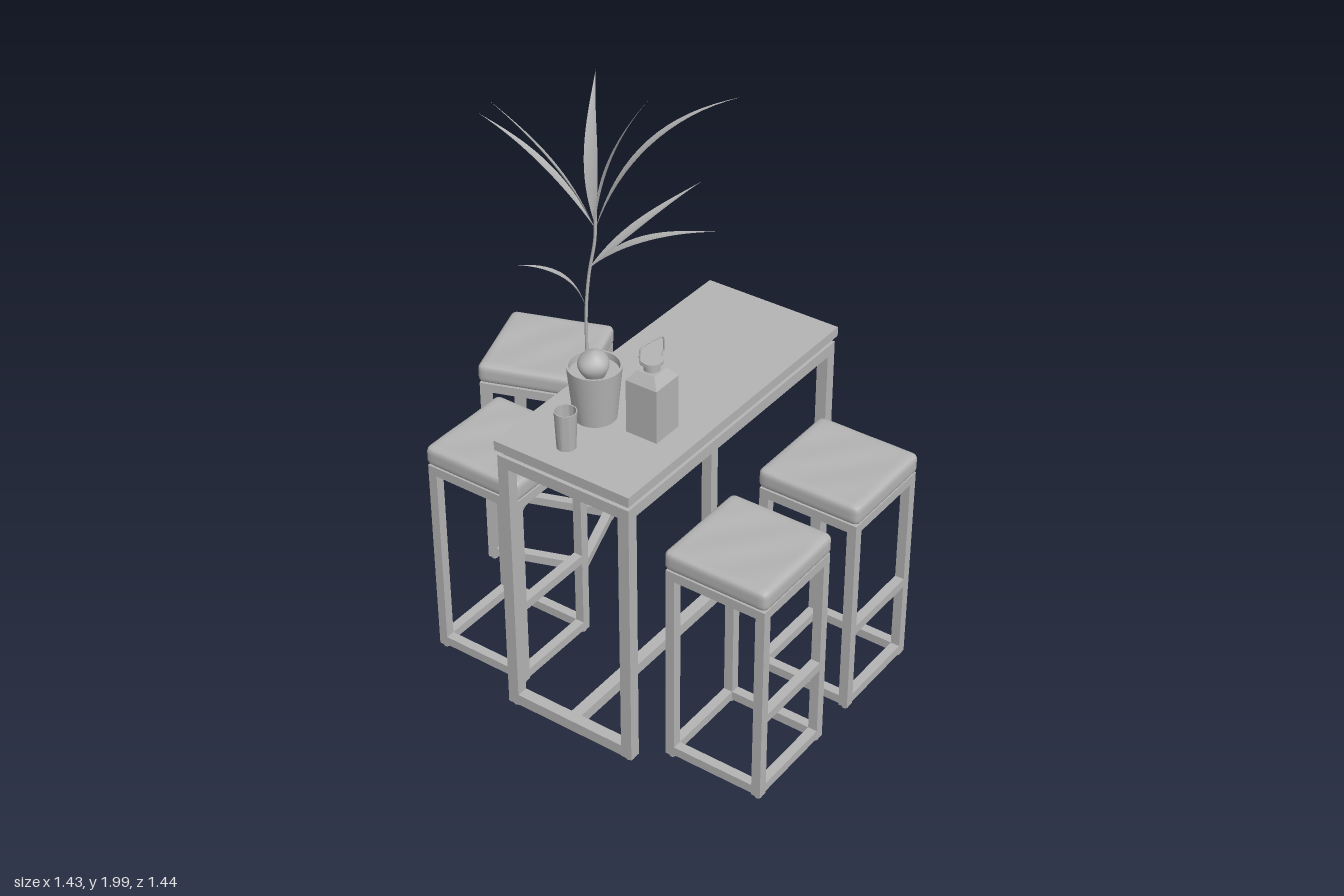
import * as THREE from 'three';
import { mergeVertices, toCreasedNormals } from 'three/addons/utils/BufferGeometryUtils.js';

const grey = new THREE.MeshStandardMaterial({ color: 0xb4b4b4 });
grey.name = 'plain grey';
const greyThin = new THREE.MeshStandardMaterial({ color: 0xb4b4b4, side: THREE.DoubleSide });
greyThin.name = 'plain grey thin';

const TURN = -0.611; // shared angle of the table and most stools

function add(parent, name, geometry, x = 0, y = 0, z = 0, material = grey) {
  const mesh = new THREE.Mesh(geometry, material);
  mesh.name = name;
  mesh.position.set(x, y, z);
  parent.add(mesh);
  return mesh;
}

const box = (parent, name, w, h, d, x, y, z) =>
  add(parent, name, new THREE.BoxGeometry(w, h, d), x, y, z);

// Four legs with small feet
function addLegs(parent, w, d, bar, top) {
  for (const sx of [-1, 1]) for (const sz of [-1, 1]) {
    const x = sx * (w - bar) / 2, z = sz * (d - bar) / 2;
    box(parent, 'leg', bar, top - 0.01, bar, x, (top + 0.01) / 2, z);
    add(parent, 'foot', new THREE.CylinderGeometry(bar * 0.35, bar * 0.35, 0.01, 12), x, 0.005, z);
  }
}

// Horizontal bars between the legs along x (front/back) and z (sides)
function addRails(parent, name, w, d, bar, y, alongX = true, alongZ = true) {
  for (const s of [-1, 1]) {
    if (alongX) box(parent, name, w - 2 * bar, bar, bar, 0, y, s * (d - bar) / 2);
    if (alongZ) box(parent, name, bar, bar, d - 2 * bar, s * (w - bar) / 2, y, 0);
  }
}

// Soft cushion: rounded block with shallow creases on top
function cushionGeometry(w, h, seed) {
  const r = 0.02;
  let g = new THREE.BoxGeometry(w, h, w, 24, 8, 24);
  g.deleteAttribute('uv');
  g.deleteAttribute('normal');
  g = mergeVertices(g);
  const p = g.attributes.position, v = new THREE.Vector3(), inner = new THREE.Vector3();
  const lim = new THREE.Vector3(w / 2 - r, h / 2 - r, w / 2 - r);
  for (let i = 0; i < p.count; i++) {
    v.fromBufferAttribute(p, i);
    inner.copy(v).clamp(lim.clone().negate(), lim);
    v.sub(inner).setLength(r).add(inner);
    if (v.y > 0) {
      const edge = (1 - (2 * v.x / w) ** 2) * (1 - (2 * v.z / w) ** 2);
      const crease = Math.sin(v.x * 22 + seed) * Math.sin(v.z * 26 + seed * 2 + v.x * 12);
      v.y -= 0.006 * (1 - crease) * 0.5 * Math.sqrt(Math.max(edge, 0));
    }
    p.setXYZ(i, v.x, v.y, v.z);
  }
  g.computeVertexNormals();
  return g;
}

function makeStool(x, z, turn, seed) {
  const stool = new THREE.Group(), w = 0.33, bar = 0.03;
  stool.name = 'stool';
  stool.position.set(x, 0, z);
  stool.rotation.y = turn;
  addLegs(stool, w, w, bar, 0.687);
  addRails(stool, 'bottomRail', w, w, bar, 0.031, true, true);
  addRails(stool, 'topRail', w, w, bar, 0.672, true, true);
  box(stool, 'footrest', bar, bar, w - 2 * bar, (w - bar) / 2, 0.292, 0);
  box(stool, 'seatBase', w - 0.03, 0.01, w - 0.03, 0, 0.685, 0);
  add(stool, 'cushion', cushionGeometry(0.342, 0.068, seed), 0, 0.722, 0);
  return stool;
}

function makeTable() {
  const table = new THREE.Group(), w = 0.455, d = 1.045, bar = 0.037;
  table.name = 'table';
  table.rotation.y = TURN;
  addLegs(table, w, d, bar, 0.914);
  addRails(table, 'topRail', w, d, bar, 0.8955);
  addRails(table, 'bottomRail', w, d, bar, 0.031, true, false);
  box(table, 'floorStretcher', bar, bar, d - 2 * bar, 0, 0.031, 0);
  box(table, 'underPanel', w - 0.025, 0.024, d - 0.025, 0, 0.922, 0);
  box(table, 'tableTop', 0.466, 0.031, 1.057, 0, 0.9485, 0);
  return table;
}

// Open vessel with an inner wall, standing on the table
function makeVessel(name, rBottom, rTop, height, wall, depth, x, z) {
  const pts = [[0, 0], [rBottom, 0], [rTop, height], [rTop - wall, height],
    [rTop - wall - 0.002, height - depth], [0, height - depth]];
  const lathe = new THREE.LatheGeometry(pts.map(([a, b]) => new THREE.Vector2(a, b)), 36);
  const mesh = new THREE.Mesh(toCreasedNormals(lathe, 0.6), grey);
  mesh.name = name;
  mesh.position.set(x, 0.964, z);
  return mesh;
}

function makeBottle() {
  const bottle = new THREE.Group();
  bottle.name = 'bottle';
  bottle.position.set(-0.053, 0.964, 0.238);
  bottle.rotation.y = TURN;
  const k = Math.SQRT2 / 2, s = 0.105;
  const square = (name, a, b, h, y) => {
    const g = new THREE.CylinderGeometry(a * k, b * k, h, 4);
    g.rotateY(Math.PI / 4);
    add(bottle, name, toCreasedNormals(g, 0.3), 0, y + h / 2, 0);
  };
  square('bottleBody', s, s, 0.172, 0);
  square('bottleShoulder', 0.06, s, 0.03, 0.172);
  add(bottle, 'bottleNeck', new THREE.CylinderGeometry(0.024, 0.024, 0.022, 24), 0, 0.212, 0);
  add(bottle, 'bottleCollar', new THREE.CylinderGeometry(0.032, 0.032, 0.01, 24), 0, 0.228, 0);
  // Thin wire handle
  const wire = [[-0.035, 0.228], [-0.046, 0.245], [-0.046, 0.275], [-0.036, 0.291],
    [0.036, 0.291], [0.046, 0.275], [0.046, 0.245], [0.035, 0.228]];
  const path = new THREE.CatmullRomCurve3(wire.map(([x, y]) => new THREE.Vector3(x, y, 0)), false, 'catmullrom', 0.3);
  const handle = add(bottle, 'wireHandle', new THREE.TubeGeometry(path, 40, 0.0025, 6));
  handle.rotation.y = Math.PI / 4 - TURN;
  return bottle;
}

// Tapering blade folded along its midrib, following a curve
function leafGeometry(a, b, c, halfWidth) {
  const curve = new THREE.QuadraticBezierCurve3(a, b, c), n = 16, pos = [], idx = [];
  const side = new THREE.Vector3(-(c.z - a.z), 0, c.x - a.x).normalize();
  for (let i = 0; i <= n; i++) {
    const t = i / n, p = curve.getPoint(t), tan = curve.getTangent(t);
    const w = 0.002 + halfWidth * Math.sin(Math.PI * t ** 0.85) ** 1.2 * (1 - 0.2 * t) - 0.0018 * t;
    const up = new THREE.Vector3().crossVectors(side, tan).multiplyScalar(w * 0.25);
    for (const s of [-1, 0, 1]) {
      const q = p.clone().addScaledVector(side, s * w);
      if (s) q.add(up);
      pos.push(q.x, q.y, q.z);
    }
    if (i < n) for (const j of [0, 1]) {
      const k = i * 3 + j;
      idx.push(k, k + 1, k + 3, k + 1, k + 4, k + 3);
    }
  }
  const g = new THREE.BufferGeometry();
  g.setAttribute('position', new THREE.Float32BufferAttribute(pos, 3));
  g.setIndex(idx);
  g.computeVertexNormals();
  return g;
}

function makePlant() {
  const plant = new THREE.Group(), V = (x, y, z) => new THREE.Vector3(x, y, z);
  plant.name = 'plant';
  plant.add(makeVessel('pot', 0.063, 0.08, 0.17, 0.007, 0.02, -0.215, 0.172));
  // Stone resting on the soil
  const stone = new THREE.SphereGeometry(1, 24, 16), p = stone.attributes.position;
  for (let i = 0; i < p.count; i++) {
    const x = p.getX(i), y = p.getY(i), z = p.getZ(i);
    const f = 1 + 0.1 * Math.sin(3 * x + 1) * Math.cos(2 * z) + 0.06 * Math.sin(4 * y + z);
    p.setXYZ(i, x * f * 0.048, y * f * 0.045, z * f * 0.042);
  }
  stone.computeVertexNormals();
  add(plant, 'stone', stone, -0.217, 1.148, 0.195);
  const stem = new THREE.CatmullRomCurve3([V(-0.235, 1.1, 0.155), V(-0.235, 1.3, 0.155),
    V(-0.225, 1.42, 0.155), V(-0.207, 1.53, 0.155), V(-0.205, 1.62, 0.152)]);
  add(plant, 'stem', new THREE.TubeGeometry(stem, 24, 0.0045, 8));
  // Each leaf: base, bend and tip, then half width
  const leaves = [
    [-0.21, 1.57, 0.153, -0.33, 1.77, 0.13, -0.51, 1.88, 0.10, 0.018],
    [-0.21, 1.57, 0.155, -0.29, 1.78, 0.18, -0.47, 1.98, 0.22, 0.02],
    [-0.206, 1.58, 0.153, -0.225, 1.8, 0.16, -0.2, 1.99, 0.06, 0.019],
    [-0.205, 1.58, 0.155, -0.18, 1.8, 0.16, -0.06, 1.97, 0.2, 0.02],
    [-0.205, 1.56, 0.153, -0.1, 1.87, 0.13, 0.18, 1.93, 0.10, 0.018],
    [-0.222, 1.44, 0.155, -0.1, 1.57, 0.14, 0.08, 1.65, 0.05, 0.02],
    [-0.222, 1.44, 0.155, -0.1, 1.57, 0.18, 0.12, 1.58, 0.2, 0.02],
    [-0.235, 1.31, 0.155, -0.27, 1.46, 0.18, -0.42, 1.48, 0.21, 0.017],
  ];
  for (const [ax, ay, az, bx, by, bz, cx, cy, cz, w] of leaves)
    add(plant, 'leaf', leafGeometry(V(ax, ay, az), V(bx, by, bz), V(cx, cy, cz), w), 0, 0, 0, greyThin);
  return plant;
}

export function createModel() {
  const model = new THREE.Group();
  model.name = 'barTableSet';
  model.add(makeTable());
  model.add(makeStool(-0.395, -0.52, -0.27, 1));
  model.add(makeStool(-0.487, -0.01, TURN, 2.3));
  model.add(makeStool(0.485, 0.095, TURN, 3.7));
  model.add(makeStool(0.216, 0.483, TURN, 5.2));
  model.add(makePlant(), makeBottle());
  model.add(makeVessel('drinkingGlass', 0.028, 0.033, 0.12, 0.003, 0.112, -0.29, 0.325));
  return model;
}
